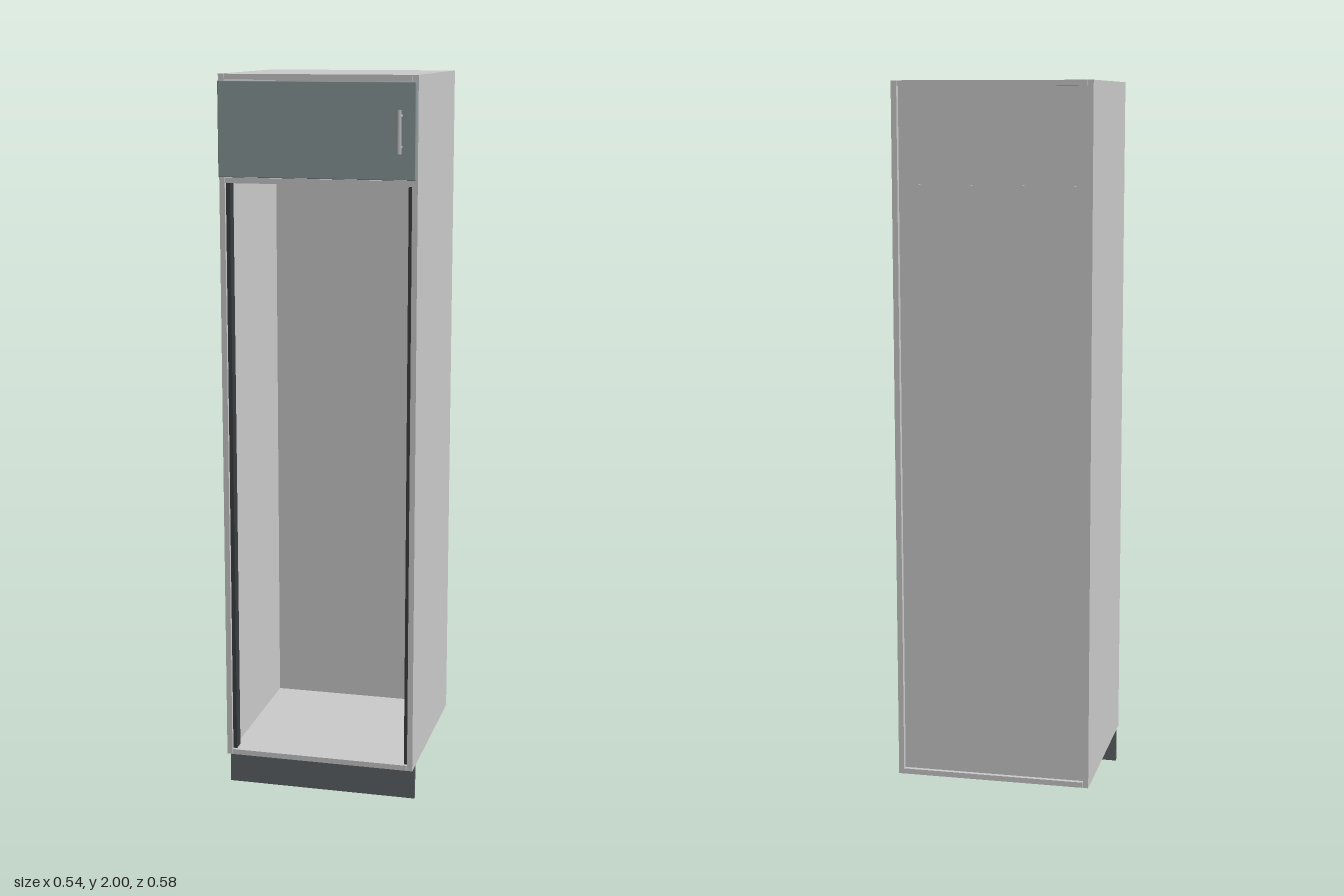
import * as THREE from 'three';
import { RoundedBoxGeometry } from 'three/addons/geometries/RoundedBoxGeometry.js';

const grey = new THREE.MeshStandardMaterial({ color: 0xcccccc });
const doorMat = new THREE.MeshStandardMaterial({ color: 0x8a9799 });
const darkMat = new THREE.MeshStandardMaterial({ color: 0x5f6366 });
const stripMat = new THREE.MeshStandardMaterial({ color: 0x3a3d40 });
const ventMat = new THREE.MeshStandardMaterial({ color: 0xc4c6d2 });
const handleMat = new THREE.MeshStandardMaterial({ color: 0xb0b2b4 });

export function createModel() {
  const group = new THREE.Group();

  // Box given by its extents on each axis, optionally with softened edges
  function box(name, [x0, x1], [y0, y1], [z0, z1], material, radius = 0) {
    const size = [x1 - x0, y1 - y0, z1 - z0];
    const geometry = radius
      ? new RoundedBoxGeometry(...size, 2, radius)
      : new THREE.BoxGeometry(...size);
    const mesh = new THREE.Mesh(geometry, material);
    mesh.name = name;
    mesh.position.set((x0 + x1) / 2, (y0 + y1) / 2, (z0 + z1) / 2);
    group.add(mesh);
    return mesh;
  }

  const W = 0.269, T = 0.015, I = W - T;
  const base = 0.095, back = -0.289, front = 0.232;
  const inner = [-I + 0.001, I - 0.001];

  // Carcass sides, with a dark strip just inside each front edge
  for (const s of [-1, 1]) {
    const span = (a, b) => (s > 0 ? [a, b] : [-b, -a]);
    const side = s > 0 ? 'left' : 'right';
    box(side + 'SidePanel', span(I, W), [base, 2], [back, front], grey);
    box(side + 'EdgeStrip', span(0.243, I), [base + T, 1.715], [0.19, 0.222], stripMat);
  }

  // Top, bottom, shelf and inset back
  box('topPanel', inner, [2 - T, 2], [back, front], grey);
  box('bottomPanel', inner, [base, base + T], [back, front], grey);
  box('shelf', inner, [1.715, 1.73], [-0.278, front], grey);
  box('backPanel', inner, [base + T, 2 - T], [-0.277, -0.269], grey);

  // Slim bar under the shelf
  box('rearBar', [-0.225, 0.225], [1.68, 1.705], [-0.269, -0.259], ventMat);

  // Recessed plinth board
  box('plinth', [-W, W], [0, base], [0.187, 0.2], darkMat);

  // Upper door
  box('door', [-0.266, 0.266], [1.732, 1.983], [0.236, 0.25], doorMat, 0.002);

  // Bar handle on two posts
  const handle = new THREE.Group();
  handle.name = 'handle';
  const rod = new THREE.Mesh(new THREE.CylinderGeometry(0.0075, 0.0075, 0.112, 24), handleMat);
  rod.name = 'handleRod';
  rod.position.set(0.227, 1.857, 0.28);
  handle.add(rod);
  for (const y of [1.817, 1.897]) {
    const post = new THREE.Mesh(new THREE.CylinderGeometry(0.005, 0.005, 0.032, 16), handleMat);
    post.name = 'handlePost';
    post.rotation.x = Math.PI / 2;
    post.position.set(0.227, y, 0.264);
    handle.add(post);
  }
  group.add(handle);

  return group;
}
